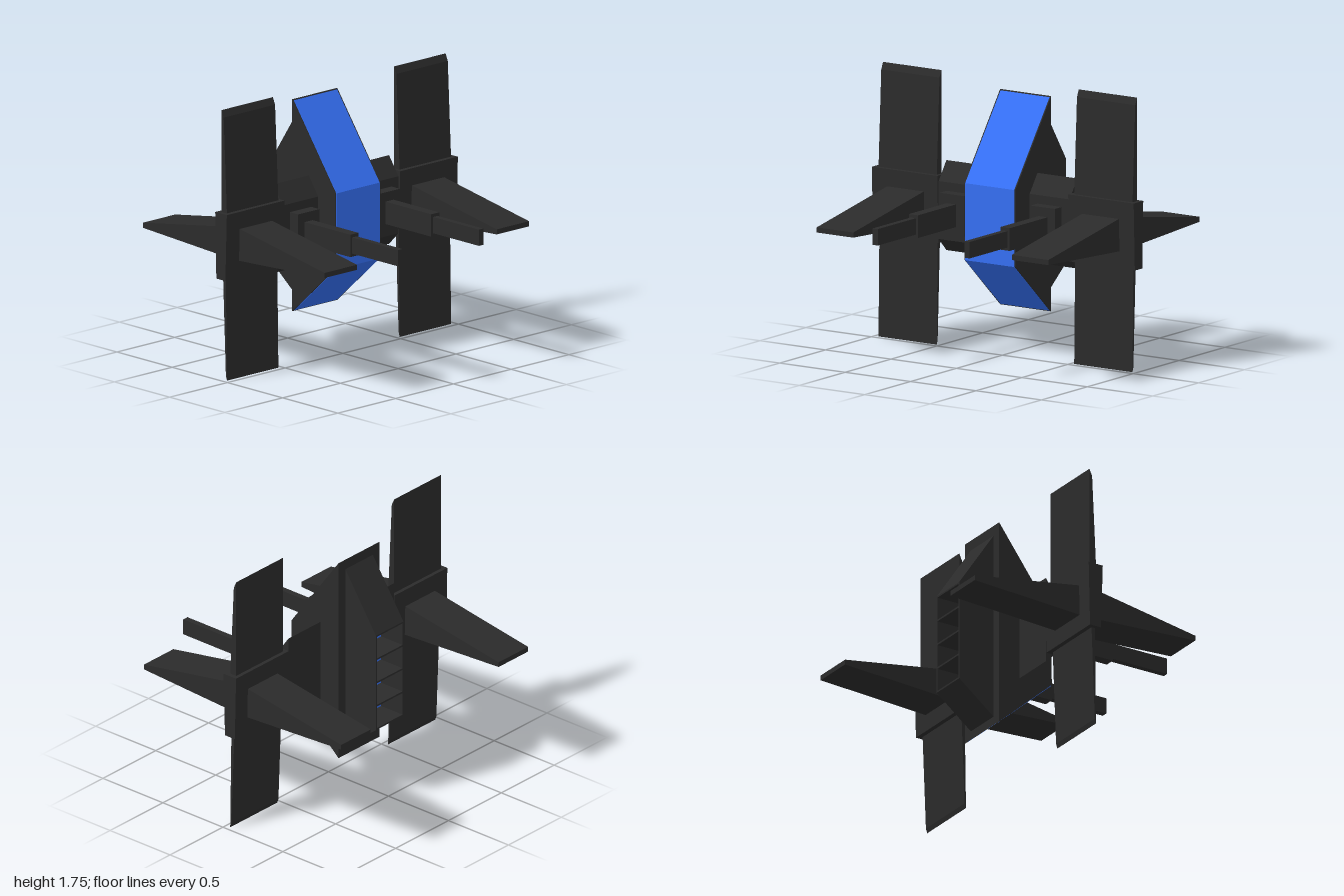
import * as THREE from 'three';

const dark = new THREE.MeshStandardMaterial({ color: 0x2b2b2b });
const blue = new THREE.MeshStandardMaterial({ color: 0x3570f5 });

// Extrudes a side profile of [z, y] points from x = x0 to x = x1.
function slab(name, points, x0, x1, material = dark) {
  const shape = new THREE.Shape(points.map(([z, y]) => new THREE.Vector2(z, y)));
  const geometry = new THREE.ExtrudeGeometry(shape, { depth: x1 - x0, bevelEnabled: false });
  geometry.rotateY(-Math.PI / 2).translate(x1, 0, 0);
  const mesh = new THREE.Mesh(geometry, material);
  mesh.name = name;
  return mesh;
}

const rect = (z0, z1, y0, y1) => [[z0, y0], [z1, y0], [z1, y1], [z0, y1]];

function createHull() {
  const hull = new THREE.Group();
  hull.name = 'hull';
  hull.add(slab('cockpitBody', [[0.135, 1.10], [0.135, 0.61], [-0.255, 0.26], [-0.255, 1.635]], -0.195, 0.195));

  // Blue window strip wrapped over the three front faces
  hull.add(slab('window', [
    [-0.248, 1.628], [0.138, 1.10], [0.138, 0.608], [-0.248, 0.265],
    [-0.24, 0.30], [0.12, 0.62], [0.12, 1.09], [-0.24, 1.58],
  ], -0.187, 0.187, blue));

  // Rear engine block: a comb profile forms four vents, closed by side plates
  const back = -0.51, depth = -0.33, low = 0.525, high = 1.18, vents = 4;
  const pitch = (high - low) / vents, slat = 0.012;
  const comb = [[-0.25, 1.575], [-0.25, 0.315], [back, 0.52]];
  for (let i = 0; i < vents; i++) {
    const y0 = low + i * pitch + slat / 2, y1 = low + (i + 1) * pitch - slat / 2;
    comb.push([back, y0], [depth, y0], [depth, y1], [back, y1]);
  }
  comb.push([back, 1.185]);
  hull.add(slab('engineVents', comb, -0.122, 0.122));
  const outline = [[-0.25, 1.575], [-0.25, 0.315], [back, 0.52], [back, 1.185]];
  for (const x of [-0.13, 0.122]) hull.add(slab('engineSidePlate', outline, x, x + 0.008));
  for (let i = 0; i < vents; i++) {
    const y = low + i * pitch;
    hull.add(slab('engineGlow', rect(depth - 0.003, depth + 0.01, y + 0.007, y + pitch - 0.007), -0.121, 0.121, blue));
  }
  return hull;
}

// One side of the craft: wing, gun, pod and four blades
function createSide(s) {
  const side = new THREE.Group();
  side.name = s > 0 ? 'leftSide' : 'rightSide';
  const add = (name, points, a, b) =>
    side.add(slab(name, points, Math.min(s * a, s * b), Math.max(s * a, s * b)));

  add('wing', [[-0.02, 1.05], [-0.02, 0.68], [-0.105, 0.595], [-0.105, 1.17]], 0.18, 0.5);

  // Stepped gun
  add('gunMount', rect(-0.03, 0.055, 0.735, 0.995), 0.255, 0.44);
  add('gunBarrel', rect(0.05, 0.47, 0.79, 0.935), 0.315, 0.385);
  add('gunMuzzle', rect(0.46, 0.885, 0.81, 0.915), 0.33, 0.37);

  // Pod with tapered blades pointing up, down, forward and back
  add('pod', [[-0.005, 1.085], [-0.018, 0.655], [-0.10, 0.655], [-0.11, 1.085]], 0.5, 1.0);
  add('upperBlade', [[-0.035, 1.07], [-0.085, 1.07], [-0.085, 1.745], [-0.065, 1.70]], 0.525, 0.97);
  add('lowerBlade', [[-0.045, 0.67], [-0.035, 0], [-0.045, 0.03], [-0.07, 0.67]], 0.525, 0.97);
  add('frontBlade', [[-0.02, 0.975], [0.76, 0.84], [0.76, 0.807], [-0.02, 0.765]], 0.605, 0.885);
  add('rearBlade', [[-0.09, 0.97], [-0.885, 0.84], [-0.885, 0.807], [-0.09, 0.765]], 0.605, 0.885);
  return side;
}

export function createModel() {
  const model = new THREE.Group();
  model.name = 'spacecraft';
  model.add(createHull(), createSide(1), createSide(-1));
  return model;
}
